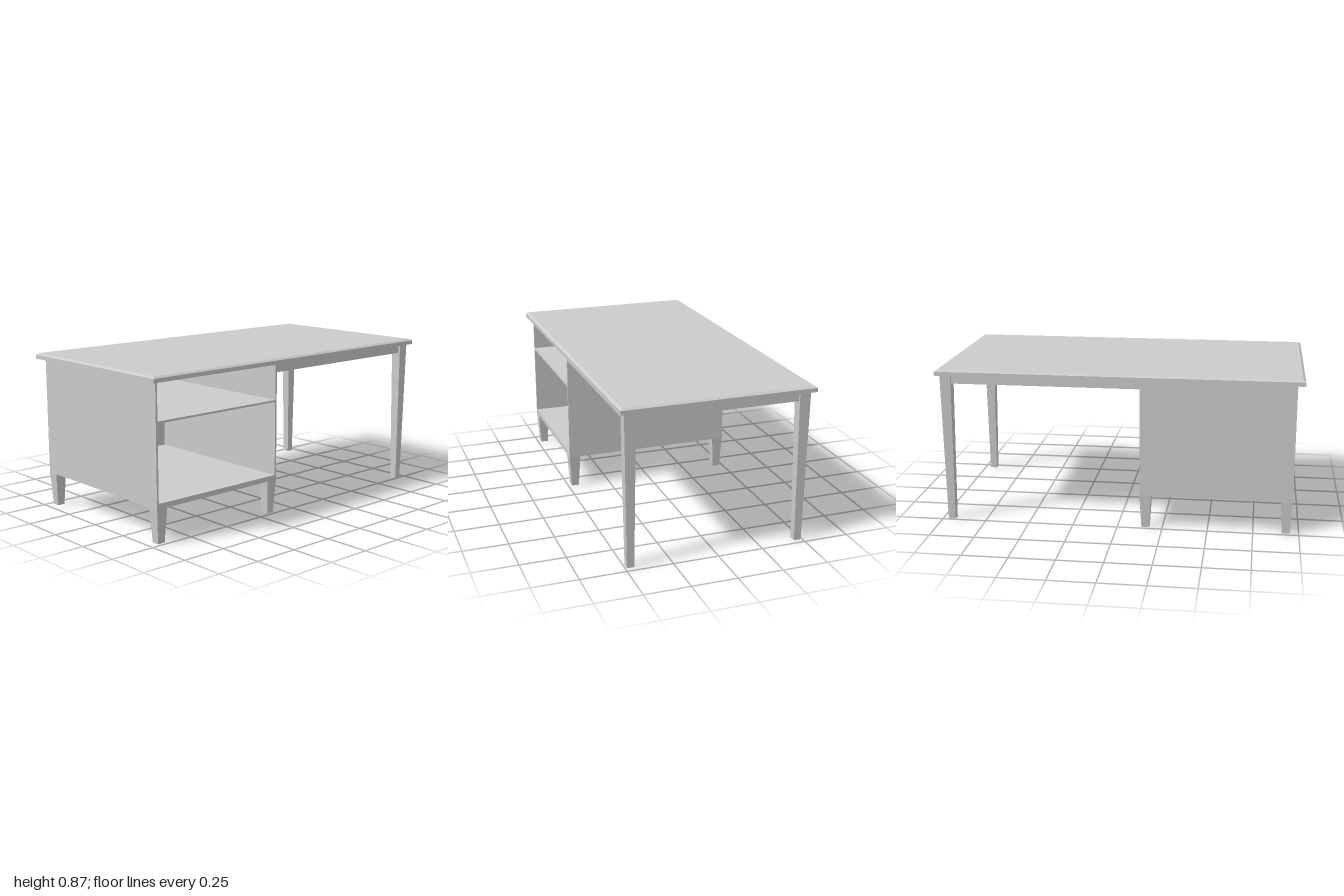
import * as THREE from 'three';

const material = new THREE.MeshStandardMaterial({ color: 0xcccccc, flatShading: true });

function addMesh(parent, name, geometry, x, y, z) {
  const mesh = new THREE.Mesh(geometry, material);
  mesh.name = name;
  mesh.position.set(x, y, z);
  parent.add(mesh);
  return mesh;
}

// Box standing on y = 0 whose top is scaled to a different width and depth
function taperedBlock(bottomW, bottomD, topW, topD, height) {
  const geometry = new THREE.BoxGeometry(bottomW, height, bottomD).translate(0, height / 2, 0);
  const pos = geometry.attributes.position;
  for (let i = 0; i < pos.count; i++) {
    if (pos.getY(i) > height / 2) {
      pos.setX(i, pos.getX(i) * topW / bottomW);
      pos.setZ(i, pos.getZ(i) * topD / bottomD);
    }
  }
  geometry.computeVertexNormals();
  return geometry;
}

// Traces a rectangle on a Shape or Path
function rect(path, x0, y0, x1, y1) {
  path.moveTo(x0, y0);
  path.lineTo(x1, y0);
  path.lineTo(x1, y1);
  path.lineTo(x0, y1);
  path.closePath();
  return path;
}

export function createModel() {
  const desk = new THREE.Group();
  desk.name = 'desk';

  const topUnder = 0.84, cabinetLeft = -0.123, cabinetRight = -0.961;
  const cabinetBase = 0.187, halfDepth = 0.49;

  // Tabletop slab with a chamfered upper edge
  const top = new THREE.Group();
  top.name = 'tabletop';
  desk.add(top);
  addMesh(top, 'tabletopSlab', taperedBlock(2, 1.054, 2, 1.054, 0.022), 0, topUnder, 0);
  addMesh(top, 'tabletopChamfer', taperedBlock(2, 1.054, 1.974, 1.028, 0.009), 0, topUnder + 0.022, 0);

  // Apron under the open side of the desk
  const apronEnd = 0.966, apronWidth = apronEnd - cabinetLeft;
  addMesh(desk, 'apron', new THREE.BoxGeometry(apronWidth, 0.05, halfDepth * 2),
    cabinetLeft + apronWidth / 2, topUnder - 0.025, 0);

  // Cabinet carcass: two open compartments running to the back panel
  const cabinet = new THREE.Group();
  cabinet.name = 'cabinet';
  desk.add(cabinet);
  const frame = rect(new THREE.Shape(), cabinetRight, cabinetBase, cabinetLeft, topUnder);
  for (const [y0, y1] of [[0.215, 0.627], [0.638, 0.832]]) {
    frame.holes.push(rect(new THREE.Path(), cabinetRight + 0.011, y0, cabinetLeft - 0.011, y1));
  }
  const back = 0.012;
  addMesh(cabinet, 'cabinetCarcass',
    new THREE.ExtrudeGeometry(frame, { depth: halfDepth * 2 - back, bevelEnabled: false }),
    0, 0, -halfDepth + back);
  addMesh(cabinet, 'cabinetBack',
    new THREE.BoxGeometry(cabinetLeft - cabinetRight, topUnder - cabinetBase, back),
    (cabinetLeft + cabinetRight) / 2, (topUnder + cabinetBase) / 2, -halfDepth + back / 2);

  // Short cabinet feet and long table legs, front and back
  for (const side of [1, -1]) {
    const place = side > 0 ? 'front' : 'back';
    for (const [name, x] of [['Left', cabinetLeft - 0.0325], ['Right', cabinetRight + 0.0325]]) {
      addMesh(cabinet, place + name + 'CabinetFoot',
        taperedBlock(0.043, 0.043, 0.065, 0.065, cabinetBase), x, 0, side * (halfDepth - 0.0325));
    }
    addMesh(desk, place + 'Leg', taperedBlock(0.04, 0.04, 0.061, 0.061, topUnder), 0.947, 0, side * 0.471);
  }

  return desk;
}
